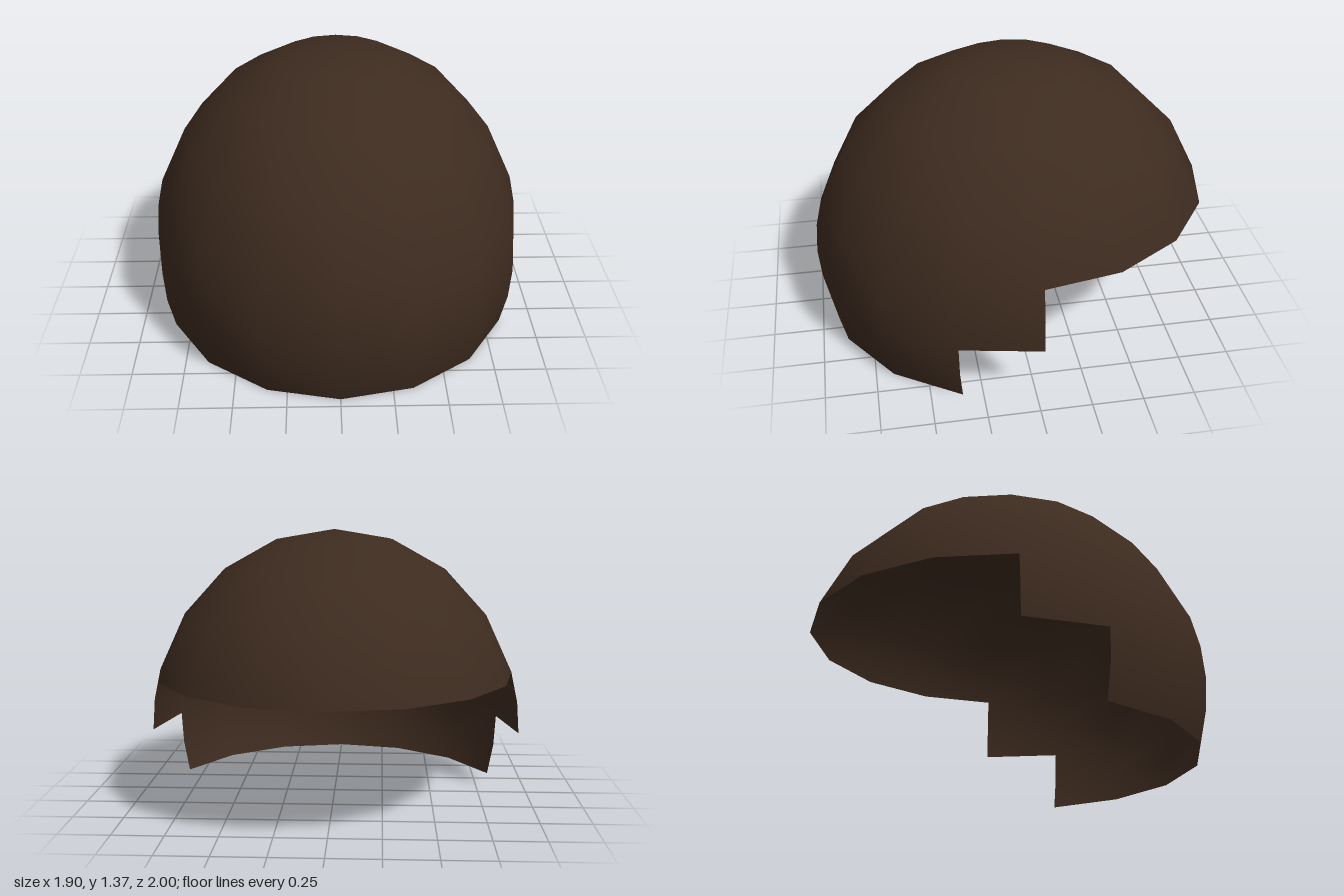
import * as THREE from 'three';

export function createModel() {
  const group = new THREE.Group();
  group.name = 'hairCap';

  const hair = new THREE.MeshStandardMaterial({ color: 0x3d2b1f, side: THREE.DoubleSide });
  hair.name = 'darkBrown';

  const COL = Math.PI / 8;  // 16 columns around
  const ROW = Math.PI / 10; // 10 rows from pole to pole

  // A patch of one shared ellipsoid, given in whole columns and rows
  function patch(name, firstCol, cols, firstRow, rows) {
    const geo = new THREE.SphereGeometry(1, cols, rows,
      firstCol * COL, cols * COL, firstRow * ROW, rows * ROW);
    geo.scale(0.95, 1.045, 1.025);
    geo.translate(0, 0.323, -0.025);
    const mesh = new THREE.Mesh(geo, hair);
    mesh.name = name;
    group.add(mesh);
  }

  patch('crown', 0, 16, 0, 4);      // full dome
  patch('frontBand', 0, 8, 4, 1);   // front half only
  patch('lowerFringe', 1, 6, 5, 1); // narrower strip at the bottom

  return group;
}
